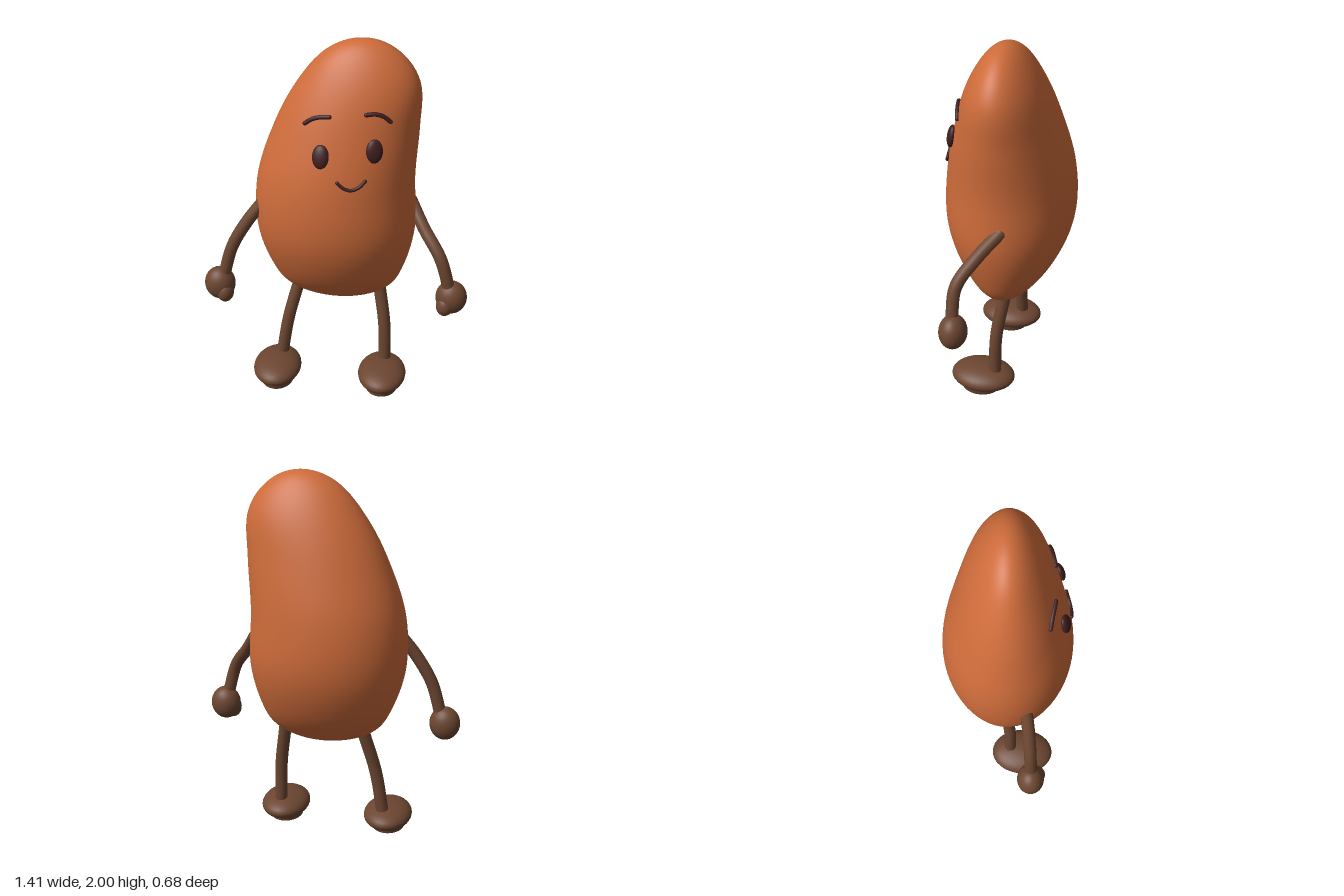
import * as THREE from 'three';
import { mergeVertices } from 'three/addons/utils/BufferGeometryUtils.js';

const mat = (name, color) => Object.assign(new THREE.MeshStandardMaterial({ color }), { name });
const V = (x, y, z) => new THREE.Vector3(x, y, z);

// Body profile, sampled at equal polar angles from the crown to the base
const MID = 1.271, HALF = 0.729;
const CENTRE = [0.13, 0.125, 0.11, 0.049, -0.005, -0.006, 0.002, 0.01, 0.02];
const WIDTH = [0.46, 0.444, 0.424, 0.397, 0.407, 0.453, 0.509, 0.627, 0.66];
const DEPTH = [0.25, 0.25, 0.265, 0.286, 0.327, 0.357, 0.347, 0.326, 0.32];
const spline = (values) => {
  const curve = new THREE.SplineCurve(values.map((v, i) => new THREE.Vector2(i, v)));
  return (t) => curve.getPoint(t).y;
};
const centre = spline(CENTRE), width = spline(WIDTH), depth = spline(DEPTH);

// Front surface of the body at x, y
function frontZ(x, y) {
  const c = (y - MID) / HALF, t = Math.acos(c) / Math.PI, s = Math.sqrt(1 - c * c);
  const u = (x - centre(t)) / (width(t) * s);
  return depth(t) * s * Math.sqrt(Math.max(0, 1 - u * u));
}
const onFace = (x, y, lift = 0) => V(x, y, frontZ(x, y) + lift);
function faceNormal(x, y) {
  const e = 0.01;
  return V(frontZ(x - e, y) - frontZ(x + e, y), frontZ(x, y - e) - frontZ(x, y + e), 2 * e).normalize();
}

function bodyGeometry() {
  const g = new THREE.SphereGeometry(1, 64, 64);
  const p = g.attributes.position;
  for (let i = 0; i < p.count; i++) {
    const y = THREE.MathUtils.clamp(p.getY(i), -1, 1), t = Math.acos(y) / Math.PI;
    p.setXYZ(i, centre(t) + p.getX(i) * width(t), MID + HALF * y, p.getZ(i) * depth(t));
  }
  g.deleteAttribute('uv');
  g.deleteAttribute('normal');
  const merged = mergeVertices(g, 1e-5);
  merged.computeVertexNormals();
  return merged;
}

export function createModel() {
  const model = new THREE.Group();
  model.name = 'beanCharacter';
  const skin = mat('beanOrange', 0xcd6b3a);
  const limb = mat('limbBrown', 0x6c4631);
  const ink = mat('faceBrown', 0x401f20);

  const add = (parent, name, geometry, material) => {
    const mesh = new THREE.Mesh(geometry, material);
    mesh.name = name;
    parent.add(mesh);
    return mesh;
  };
  const ellipsoid = (parent, name, pos, size, material) => {
    const mesh = add(parent, name, new THREE.SphereGeometry(1, 32, 20), material);
    mesh.position.copy(pos);
    mesh.scale.set(...size);
    return mesh;
  };
  // Tube with rounded ends
  const rod = (name, points, radius, material) => {
    const group = new THREE.Group();
    group.name = name;
    add(group, name + 'Tube', new THREE.TubeGeometry(new THREE.CatmullRomCurve3(points), 32, radius, 14), material);
    for (const end of [points[0], points[points.length - 1]])
      ellipsoid(group, name + 'End', end, [radius, radius, radius], material);
    model.add(group);
  };

  add(model, 'body', bodyGeometry(), skin);

  // Eyes lie flat against the curved face
  for (const [name, x, y] of [['rightEye', -0.05, 1.49], ['leftEye', 0.21, 1.52]]) {
    const eye = ellipsoid(model, name, onFace(x, y, 0.008), [0.042, 0.06, 0.022], ink);
    eye.quaternion.setFromUnitVectors(V(0, 0, 1), faceNormal(x, y));
  }

  // Brows and smile follow the face
  const line = (name, pts, r) => rod(name, pts.map(([x, y]) => onFace(x, y, 0.006)), r, ink);
  line('rightBrow', [[-0.135, 1.63], [-0.1, 1.655], [-0.06, 1.67], [-0.012, 1.677]], 0.011);
  line('leftBrow', [[0.165, 1.695], [0.21, 1.697], [0.25, 1.682], [0.28, 1.655]], 0.011);
  line('smile', [[0.035, 1.37], [0.065, 1.345], [0.1, 1.333], [0.14, 1.345], [0.17, 1.375]], 0.009);

  // Arms
  rod('rightArm', [V(-0.385, 1.12, 0.1), V(-0.46, 1.02, 0.115), V(-0.545, 0.87, 0.128), V(-0.6, 0.68, 0.135)], 0.033, limb);
  rod('leftArm', [V(0.385, 1.11, -0.045), V(0.46, 1.0, 0.05), V(0.555, 0.87, 0.135), V(0.612, 0.68, 0.145)], 0.033, limb);

  for (const [side, s] of [['right', -1], ['left', 1]]) {
    // Hand and thumb
    ellipsoid(model, side + 'Hand', V(s * 0.622, 0.64, 0.135), [0.083, 0.093, 0.073], limb);
    ellipsoid(model, side + 'Thumb', V(s * 0.59, 0.603, 0.165), [0.046, 0.058, 0.05], limb);

    // Leg, foot and flat sole
    const foot = s < 0 ? -0.33 : 0.262, ankle = s < 0 ? -0.315 : 0.272;
    const hip = s < 0 ? -0.21 : 0.228, knee = s < 0 ? -0.272 : 0.264;
    rod(side + 'Leg', [V(hip, 0.6, -0.02), V(knee, 0.36, 0.015), V(ankle, 0.1, 0.022)], 0.034, limb);
    ellipsoid(model, side + 'Foot', V(foot, 0.08, 0.092), [0.133, 0.067, 0.177], limb);
    const sole = add(model, side + 'Sole', new THREE.CylinderGeometry(1, 0.93, 0.035, 40), limb);
    sole.position.set(foot, 0.0175, 0.105);
    sole.scale.set(0.096, 1, 0.115);
  }
  return model;
}
